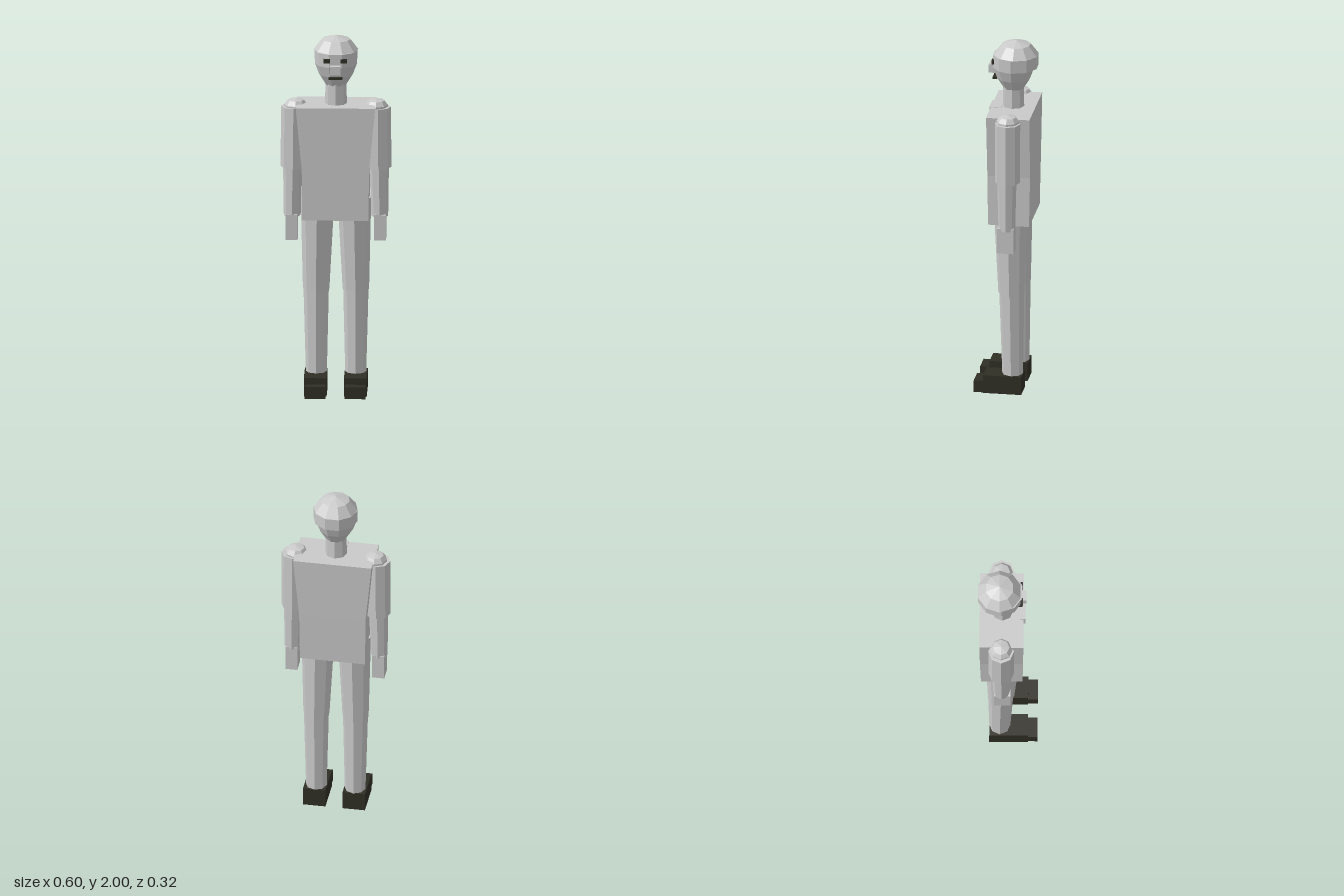
import * as THREE from 'three';

const grey = new THREE.MeshStandardMaterial({ color: 0xcacaca });
grey.name = 'light grey';
const dark = new THREE.MeshStandardMaterial({ color: 0x302f25 });
dark.name = 'dark brown';

// Faceted mesh: unshared vertices give every face its own normal
function part(parent, name, geometry, material, x = 0, y = 0, z = 0) {
  const geo = geometry.index ? geometry.toNonIndexed() : geometry;
  geo.computeVertexNormals();
  const mesh = new THREE.Mesh(geo, material);
  mesh.name = name;
  mesh.position.set(x, y, z);
  parent.add(mesh);
  return mesh;
}

// Box given by its limits on each axis
function box(parent, name, material, [x0, x1], [y0, y1], [z0, z1]) {
  return part(parent, name, new THREE.BoxGeometry(x1 - x0, y1 - y0, z1 - z0), material,
    (x0 + x1) / 2, (y0 + y1) / 2, (z0 + z1) / 2);
}

// Lathe from [radius, y] points, listed from bottom to top
function lathe(points, sides) {
  return new THREE.LatheGeometry(points.map(p => new THREE.Vector2(...p)), sides, Math.PI / 2);
}

// Eight-sided limb section whose two end rings may have different centres
function limb(parent, name, bottom, top) {
  const [x0, y0, z0, r0] = bottom, [x1, y1, z1, r1] = top;
  const geo = new THREE.CylinderGeometry(r1, r0, y1 - y0, 8);
  const p = geo.attributes.position;
  for (let i = 0; i < p.count; i++) {
    const up = p.getY(i) > 0;
    p.setXYZ(i, p.getX(i) + (up ? x1 : x0), up ? y1 : y0, p.getZ(i) + (up ? z1 : z0));
  }
  return part(parent, name, geo, grey);
}

export function createModel() {
  const model = new THREE.Group();
  model.name = 'standingFigure';

  // Torso: box with a middle section, tapering from the shoulders to the waist
  const torso = new THREE.BoxGeometry(1, 2, 1, 1, 2, 1);
  const sections = [[0.985, 0.18, -0.145, 0.081], [1.27, 0.183, -0.151, 0.084], [1.62, 0.216, -0.153, 0.086]];
  const p = torso.attributes.position;
  for (let i = 0; i < p.count; i++) {
    const [y, w, back, front] = sections[Math.round(p.getY(i)) + 1];
    p.setXYZ(i, Math.sign(p.getX(i)) * w, y, p.getZ(i) > 0 ? front : back);
  }
  part(model, 'torso', torso, grey);
  box(model, 'collar', grey, [-0.05, 0.05], [1.553, 1.622], [0.03, 0.095]);

  // Neck and head
  const head = new THREE.Group();
  head.name = 'head';
  model.add(head);
  part(head, 'neck', new THREE.CylinderGeometry(0.057, 0.06, 0.18, 8), grey, 0, 1.67, -0.03);
  part(head, 'skull', lathe([[0, 1.725], [0.056, 1.725], [0.093, 1.785], [0.115, 1.845],
    [0.117, 1.92], [0, 1.93]], 10), grey, 0, 0, -0.033);

  // Hair: rounded cap with a band hanging around the back half
  part(head, 'hairCap', lathe([[0, 1.918], [0.122, 1.92], [0.078, 1.977], [0, 2]], 10), grey, 0, 0, -0.046);
  part(head, 'hairBack', new THREE.CylinderGeometry(0.122, 0.122, 0.07, 5, 1, false, Math.PI / 2, Math.PI),
    grey, 0, 1.886, -0.046);

  // Face
  box(head, 'nose', grey, [-0.028, 0.028], [1.812, 1.86], [0.05, 0.102]);
  box(head, 'mouth', dark, [-0.037, 0.037], [1.78, 1.79], [0.055, 0.08]);
  for (const s of [1, -1]) {
    const eye = box(head, s > 0 ? 'leftEye' : 'rightEye', dark, [-0.018, 0.018], [1.874, 1.896], [0.069, 0.082]);
    eye.position.x = s * 0.046;
  }

  for (const s of [1, -1]) {
    const side = s > 0 ? 'left' : 'right';

    // Arm
    const arm = new THREE.Group();
    arm.name = side + 'Arm';
    model.add(arm);
    part(arm, 'shoulder', lathe([[0, 1.53], [0.045, 1.54], [0.063, 1.59], [0.063, 1.61],
      [0.045, 1.635], [0, 1.645]], 8), grey, s * 0.219, 0, -0.035);
    limb(arm, 'upperArm', [s * 0.232, 1.26, -0.035, 0.069], [s * 0.23, 1.6, -0.035, 0.07]);
    limb(arm, 'forearm', [s * 0.238, 0.985, -0.032, 0.046], [s * 0.235, 1.265, -0.032, 0.053]);
    box(arm, 'hand', grey, [s * 0.24 - 0.033, s * 0.24 + 0.033], [0.857, 1], [-0.074, 0.016]);

    // Leg
    const leg = new THREE.Group();
    leg.name = side + 'Leg';
    model.add(leg);
    limb(leg, 'thigh', [s * 0.108, 0.57, -0.036, 0.072], [s * 0.1, 1.09, -0.028, 0.092]);
    limb(leg, 'shin', [s * 0.107, 0.09, -0.043, 0.057], [s * 0.108, 0.575, -0.038, 0.069]);

    // Shoe: tall heel block and lower toe block
    const c = s * 0.109;
    box(leg, 'shoe', dark, [c - 0.062, c + 0.062], [0, 0.103], [-0.1, 0.11]);
    box(leg, 'toe', dark, [c - 0.057, c + 0.057], [0.001, 0.068], [0.05, 0.162]);
  }

  return model;
}
